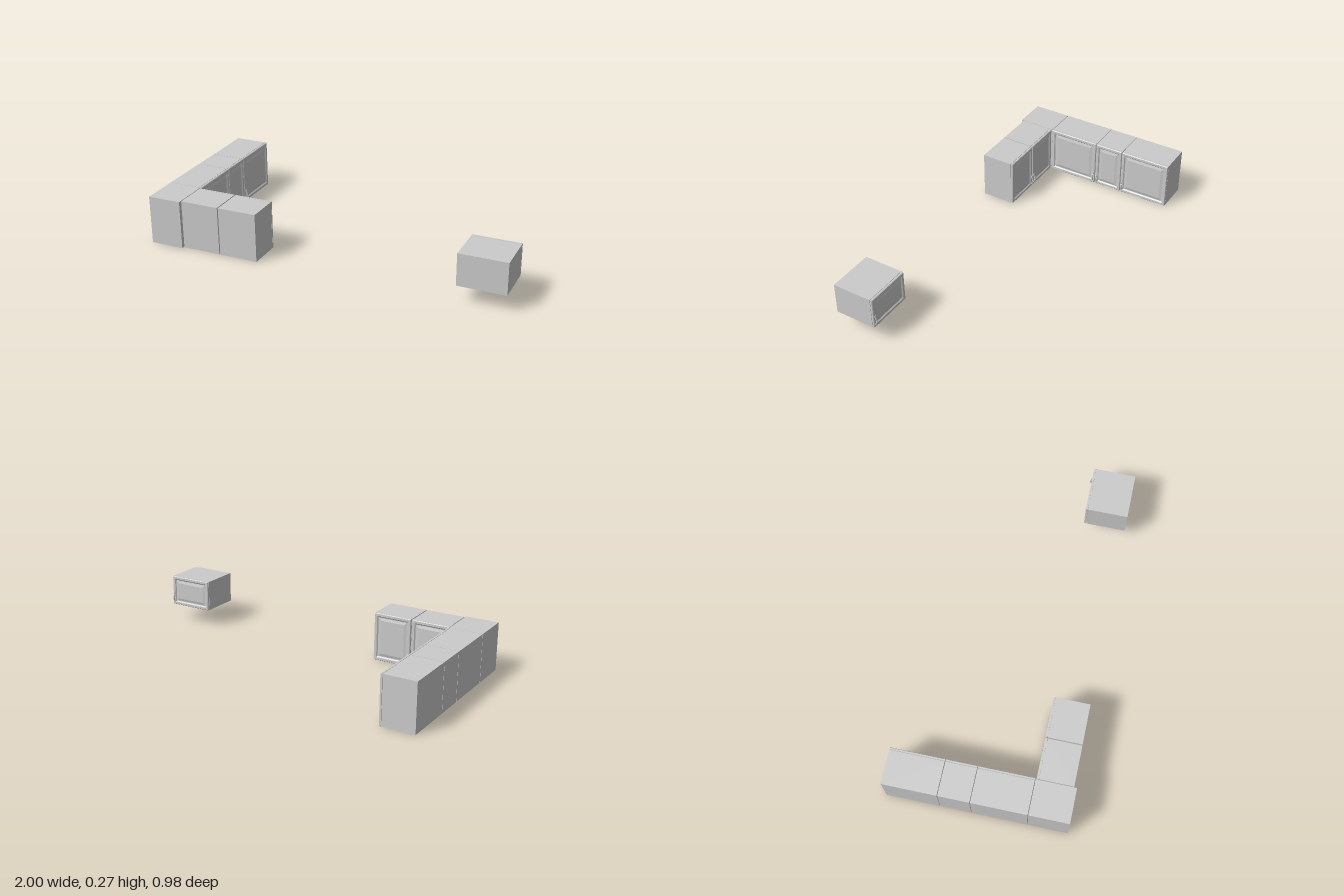
import * as THREE from 'three';

const grey = new THREE.MeshStandardMaterial({ color: 0xcccccc });
const DOOR = 0.012, GAP = 0.002;

function addMesh(parent, name, geometry, x = 0, y = 0, z = 0) {
  const m = new THREE.Mesh(geometry, grey);
  m.name = name;
  m.position.set(x, y, z);
  parent.add(m);
  return m;
}

// Panelled door: nested rectangles, each [inset, z], joined into bevels and closed at both ends
function doorGeometry(w, h) {
  const rings = [
    [0, 0], [0, DOOR - 0.003], [0.003, DOOR], [0.016, DOOR],
    [0.022, DOOR - 0.006], [0.026, DOOR - 0.006], [0.04, DOOR - 0.002],
  ];
  const corner = ([inset, z], i) => {
    const x = w / 2 - inset, y = h / 2 - inset;
    return [i === 0 || i === 3 ? -x : x, i < 2 ? -y : y, z];
  };
  const pos = [];
  const quad = (a, b, c, d) => pos.push(...a, ...b, ...c, ...a, ...c, ...d);
  for (let r = 0; r < rings.length - 1; r++) {
    for (let i = 0; i < 4; i++) {
      const j = (i + 1) % 4;
      quad(corner(rings[r], i), corner(rings[r], j), corner(rings[r + 1], j), corner(rings[r + 1], i));
    }
  }
  const cap = (ring, order) => quad(...order.map((i) => corner(ring, i)));
  cap(rings[rings.length - 1], [0, 1, 2, 3]);
  cap(rings[0], [3, 2, 1, 0]);
  const g = new THREE.BufferGeometry();
  g.setAttribute('position', new THREE.Float32BufferAttribute(pos, 3));
  g.computeVertexNormals();
  return g;
}

// Bowed pull handle: an arch profile (z outward, y up) extruded across its width
function handleGeometry() {
  const H = 0.029, W = 0.007;
  const s = new THREE.Shape();
  s.moveTo(0, -H);
  s.lineTo(0.005, -H);
  s.quadraticCurveTo(0.007, -0.018, 0.011, -0.012);
  s.quadraticCurveTo(0.014, 0, 0.011, 0.012);
  s.quadraticCurveTo(0.007, 0.018, 0.005, H);
  s.lineTo(0, H);
  s.lineTo(0, 0.022);
  s.quadraticCurveTo(0.015, 0, 0, -0.022);
  s.closePath();
  const g = new THREE.ExtrudeGeometry(s, { depth: W, bevelEnabled: false, curveSegments: 6 });
  g.translate(0, 0, -W / 2);
  g.rotateY(-Math.PI / 2);
  return g;
}

// Cabinet with its back at local z = 0 and its door facing local +z
function cabinet(name, w, h, d, handleSide) {
  const g = new THREE.Group();
  g.name = name;
  addMesh(g, 'carcass', new THREE.BoxGeometry(w, h, d), 0, h / 2, d / 2);
  addMesh(g, 'doorMount', new THREE.BoxGeometry(w - 0.02, h - 0.02, GAP), 0, h / 2, d + GAP / 2);
  addMesh(g, 'door', doorGeometry(w, h), 0, h / 2, d + GAP);
  addMesh(g, 'handle', handleGeometry(), handleSide * (w / 2 - 0.01), 0.045, d + GAP + DOOR);
  return g;
}

export function createModel() {
  const model = new THREE.Group();
  model.name = 'kitchenCabinets';
  const H = 0.272;

  // Long side run, doors facing +x: [z from, z to, handle side]
  [[-0.491, -0.199, -1], [-0.196, -0.029, -1], [-0.026, 0.272, 1]].forEach(([a, b, side], i) => {
    const c = cabinet('sideCabinet' + (i + 1), b - a, H, 0.182, side);
    c.rotation.y = Math.PI / 2;
    c.position.set(-1, 0, (a + b) / 2);
    model.add(c);
  });

  // Plain corner unit
  addMesh(model, 'cornerCabinet', new THREE.BoxGeometry(0.188, H, 0.215), -0.906, H / 2, 0.3825);

  // Short run, doors facing -z: [x from, x to, handle side]
  [[-0.808, -0.59, -1], [-0.584, -0.365, 1]].forEach(([a, b, side], i) => {
    const c = cabinet('frontCabinet' + (i + 1), b - a, H, 0.182, side);
    c.rotation.y = Math.PI;
    c.position.set((a + b) / 2, 0, 0.475);
    model.add(c);
  });

  // Separate raised cabinet
  const raised = cabinet('raisedCabinet', 0.26, 0.176, 0.222, -1);
  raised.rotation.y = Math.PI;
  raised.position.set(0.87, 0.097, 0.475);
  model.add(raised);

  return model;
}
